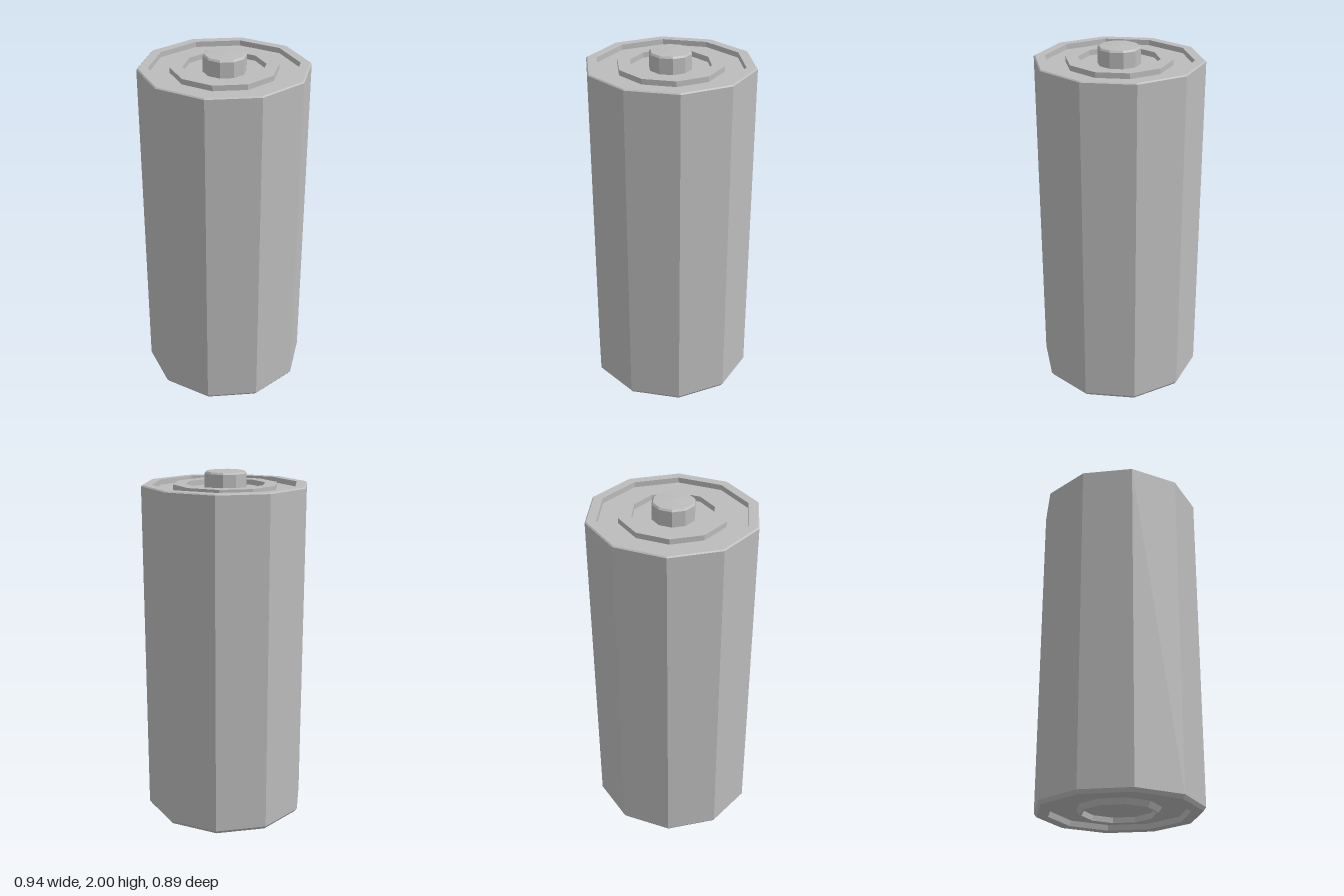
import * as THREE from 'three';

const SIDES = 10;

// Faceted ten-sided lathe; profile runs [radius, y] from the bottom axis outwards and up
function turned(name, profile, material) {
  const points = profile.map(([r, y]) => new THREE.Vector2(r, y));
  const geometry = new THREE.LatheGeometry(points, SIDES, Math.PI / 2).toNonIndexed();
  geometry.computeVertexNormals();
  const mesh = new THREE.Mesh(geometry, material);
  mesh.name = name;
  return mesh;
}

export function createModel() {
  const metal = new THREE.MeshStandardMaterial({ color: 0xbcbcbc });
  metal.name = 'grey metal';

  const group = new THREE.Group();
  group.name = 'battery';
  group.add(
    // Underside with a groove, a thin raised ring and a bevelled edge
    turned('negativeEnd', [
      [0, 0.03], [0.2, 0.03], [0.205, 0], [0.215, 0], [0.235, 0.03],
      [0.38, 0.03], [0.39, 0], [0.455, 0], [0.47, 0.02],
    ], metal),
    // Straight casing
    turned('casing', [[0.47, 0.02], [0.47, 1.922]], metal),
    // Rim, groove, raised ring and sunken centre
    turned('topCap', [
      [0.47, 1.922], [0.463, 1.928], [0.41, 1.928], [0.41, 1.898],
      [0.295, 1.898], [0.295, 1.928], [0.225, 1.928], [0.225, 1.898], [0.118, 1.898],
    ], metal),
    // Terminal with a bevel and slightly domed top
    turned('positiveTerminal', [
      [0.118, 1.898], [0.118, 1.985], [0.11, 1.995], [0, 2],
    ], metal),
  );
  return group;
}
